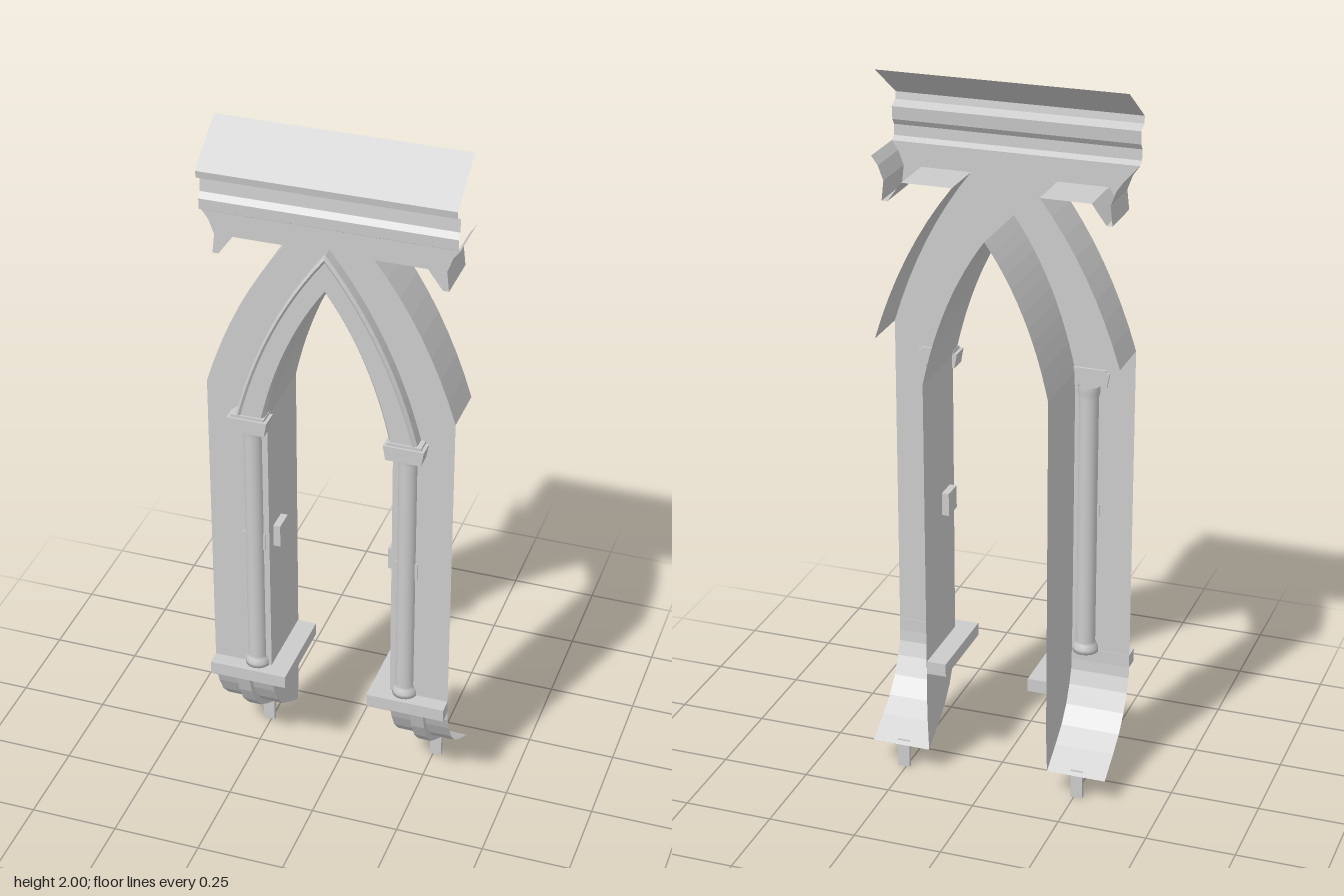
import * as THREE from 'three';

const mat = new THREE.MeshStandardMaterial({ color: 0xcccccc, flatShading: true, side: THREE.DoubleSide });
const smooth = new THREE.MeshStandardMaterial({ color: 0xcccccc, side: THREE.DoubleSide });
const FRONT = 0.09, BACK = -0.135, HALF = 0.343, JAMB = 0.175;

function add(parent, name, geometry, material = mat) {
  const mesh = new THREE.Mesh(geometry, material);
  mesh.name = name;
  parent.add(mesh);
  return mesh;
}

// Box given by its limits on each axis
function box(parent, name, x0, x1, y0, y1, z0, z1) {
  const mesh = add(parent, name, new THREE.BoxGeometry(Math.abs(x1 - x0), y1 - y0, z1 - z0));
  mesh.position.set((x0 + x1) / 2, (y0 + y1) / 2, (z0 + z1) / 2);
  return mesh;
}

// Open sheet joining successive rows of [x, y, z] points; flip reverses the facing
function sheet(rows, flip = false) {
  const pos = [];
  for (let i = 0; i + 1 < rows.length; i++) {
    for (let j = 0; j + 1 < rows[i].length; j++) {
      const a = rows[i][j], b = rows[i][j + 1], c = rows[i + 1][j + 1], d = rows[i + 1][j];
      const quad = flip ? [a, c, b, a, d, c] : [a, b, c, a, c, d];
      quad.forEach(p => pos.push(...p));
    }
  }
  const g = new THREE.BufferGeometry();
  g.setAttribute('position', new THREE.Float32BufferAttribute(pos, 3));
  g.computeVertexNormals();
  return g;
}

// Gently bowed curve through two ends and a control point
function bow(x0, y0, cx, cy, x1, y1, n = 12) {
  return new THREE.QuadraticBezierCurve(
    new THREE.Vector2(x0, y0), new THREE.Vector2(cx, cy), new THREE.Vector2(x1, y1)
  ).getPoints(n).map(p => [p.x, p.y]);
}

// Whole pointed arch, right foot to left foot, k = 0 inner edge, k = 1 outer edge
function archLine(k) {
  const w = JAMB + 0.08 * k, top = 1.61 + 0.115 * k;
  const half = bow(w, 1.19, w * 0.7, 1.44 + 0.06 * k, 0, top);
  const mirrored = half.slice(0, -1).reverse().map(([x, y]) => [-x, y]);
  return [...half, ...mirrored];
}

export function createModel() {
  const model = new THREE.Group();
  const innerArch = archLine(0);
  const outerCurve = bow(HALF, 1.27, 0.265, 1.53, 0.12, 1.715, 8);
  const bracket = [[0.12, 1.715], [0.26, 1.715], [0.3, 1.66], [0.316, 1.66], [0.31, 1.715], [0.325, 1.755], [HALF, 1.78]];

  // Front wall around the pointed opening
  const edge = [[HALF, 0.3], ...outerCurve, ...bracket.slice(1)];
  const mirrorEdge = edge.slice().reverse().map(([x, y]) => [-x, y]);
  const outline = [[JAMB, 0.3], ...edge, ...mirrorEdge, [-JAMB, 0.3], ...innerArch.slice().reverse()];
  const face = new THREE.Shape(outline.map(p => new THREE.Vector2(...p)));
  add(model, 'frontWall', new THREE.ShapeGeometry(face)).position.z = FRONT;

  // Soffit and jambs of the opening
  const lining = [[JAMB, 0.32], ...innerArch, [-JAMB, 0.32]];
  add(model, 'openingLining', sheet([FRONT, BACK].map(z =>
    lining.map(([x, y]) => [x, y, z === BACK ? BACK - 0.006 * Math.max(0, y - 0.6) : z]))));

  // Raised moulding following the arch
  const mould = [[0, 0.09], [0, 0.115], [0.1, 0.125], [0.82, 0.125], [0.9, 0.13], [1, 0.122], [1, 0.09]];
  add(model, 'archMoulding', sheet(mould.map(([k, z]) => archLine(k).map(([x, y]) => [x, y, z])), true));

  // Cornice with sloping top
  const cornice = [[1.78, 0.09], [1.79, 0.107], [1.82, 0.108], [1.836, 0.097], [1.872, 0.094],
    [1.885, 0.12], [1.905, 0.123], [2.0, -0.017]];
  add(model, 'cornice', sheet(cornice.map(([y, z]) => [[-HALF, y, z], [HALF, y, z]]), true));

  // Curved corbel profiles [y, z]
  const corbel = [[0.34, 0.09], [0.29, 0.085], [0.25, 0.07], [0.2, 0.043], [0.155, 0.002], [0.12, -0.05], [0.075, -0.125]];
  const rib = [[0.32, 0.11], [0.29, 0.1], [0.245, 0.086], [0.19, 0.056], [0.143, 0.014], [0.107, -0.04], [0.065, -0.11]];

  for (const s of [1, -1]) {
    const side = new THREE.Group();
    side.name = s > 0 ? 'leftSide' : 'rightSide';
    model.add(side);

    // Outer return of the arch and its hanging bracket
    const returnSheet = pts => sheet([FRONT, -0.055].map(z => pts.map(([x, y]) => [s * x, y, z])), s < 0);
    add(side, 'outerArchReturn', returnSheet(outerCurve));
    add(side, 'bracket', returnSheet(bracket));

    // Column with base and neck
    const profile = [[0.036, 0.36], [0.036, 0.372], [0.031, 0.385], [0.027, 0.392], [0.027, 1.125],
      [0.031, 1.14], [0.031, 1.16]].map(p => new THREE.Vector2(...p));
    profile.unshift(new THREE.Vector2(0, 0.36));
    add(side, 'column', new THREE.LatheGeometry(profile, 16), smooth).position.set(s * 0.217, 0, 0.083);

    // Capital block, narrowing below
    const capital = box(side, 'capital', s * 0.161, s * 0.273, 1.155, 1.197, 0.083, 0.136);
    const cp = capital.geometry.attributes.position;
    for (let i = 0; i < cp.count; i++) if (cp.getY(i) < 0) cp.setX(i, cp.getX(i) * 0.87);
    box(side, 'capitalTop', s * 0.17, s * 0.264, 1.197, 1.205, 0.083, 0.13);

    // Small blocks on the jamb and behind the column
    box(side, 'jambBlock', s * 0.155, s * JAMB, 0.752, 0.818, -0.004, 0.058);
    box(side, 'columnTie', s * 0.185, s * 0.25, 0.757, 0.808, 0.087, 0.094);

    // Sill running along the front and back through the opening
    box(side, 'frontSill', s * 0.12, s * HALF, 0.322, 0.36, 0.088, 0.132);
    box(side, 'innerSill', s * 0.12, s * JAMB, 0.322, 0.36, -0.132, 0.088);

    // Corbel sheet and its inner cheek
    add(side, 'corbel', sheet(corbel.map(([y, z]) => [[s * JAMB, y, z], [s * HALF, y, z]]), s > 0));
    const cheek = corbel.map(([y, z], i) => [[s * JAMB, y, z],
      [s * JAMB, y, i < 3 ? BACK : BACK + 0.01 * (i - 3) / 3]]);
    add(side, 'corbelCheek', sheet(cheek, s > 0));

    // Raised rib down the corbel
    const ribRows = rib.map(([y, z], i) => {
      const [cy, cz] = corbel[i];
      return [[s * 0.238, cy, cz], [s * 0.238, y, z], [s * 0.276, y, z], [s * 0.276, cy, cz]];
    });
    add(side, 'corbelRib', sheet(ribRows, s > 0));

    // Peg beneath the corbel
    box(side, 'peg', s * 0.24, s * 0.274, 0, 0.085, -0.113, -0.1);
  }
  return model;
}
